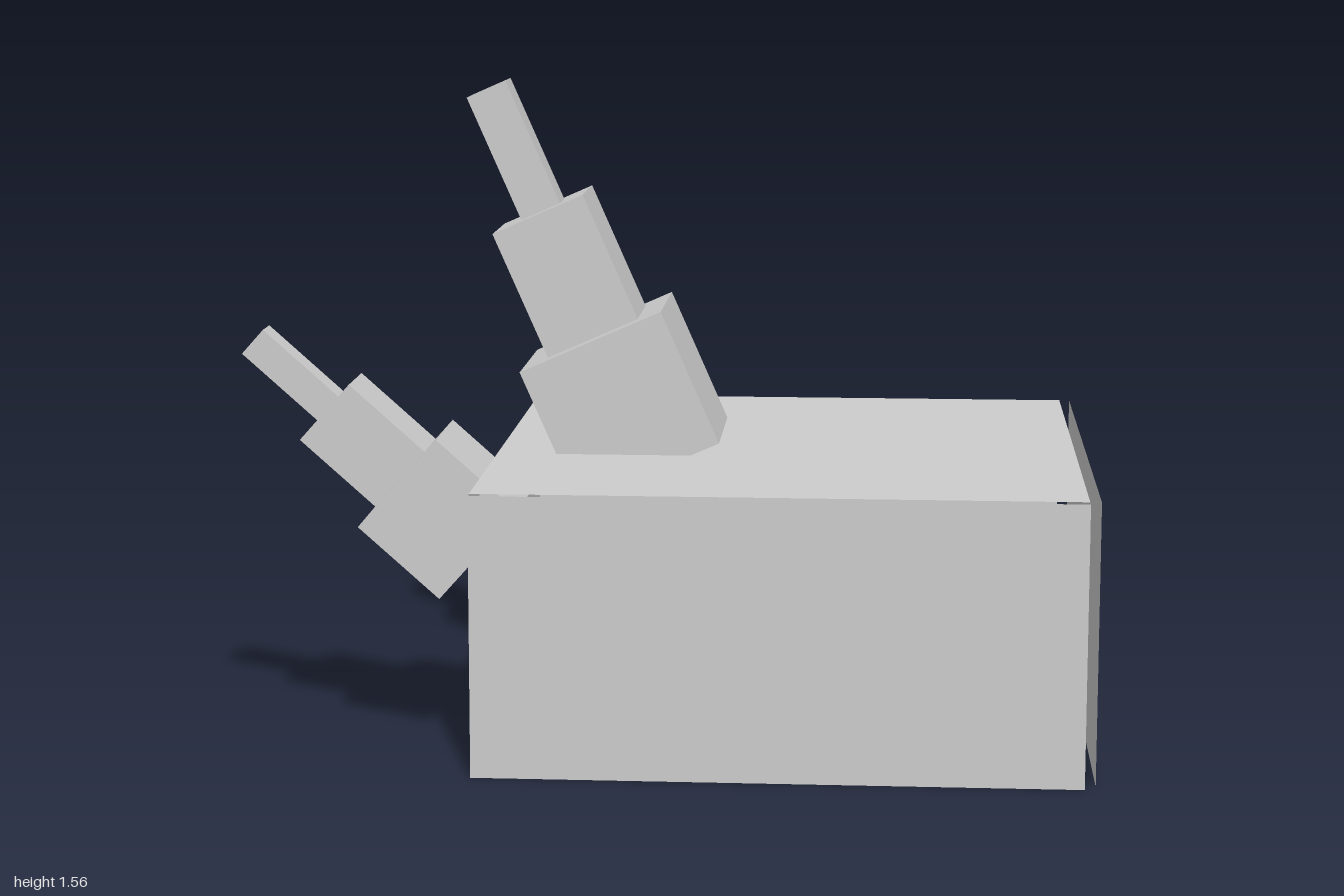
import * as THREE from 'three';

const grey = new THREE.MeshStandardMaterial({ color: 0xcccccc, side: THREE.DoubleSide });
grey.name = 'plain grey';

function add(parent, name, geometry, x, y, z) {
  const mesh = new THREE.Mesh(geometry, grey);
  mesh.name = name;
  mesh.position.set(x, y, z);
  parent.add(mesh);
  return mesh;
}

// Stack of ever thinner square blocks along the local y axis; the first is centred on the origin
function steppedSpike(name, segments, position, tilt) {
  const spike = new THREE.Group();
  spike.name = name;
  let bottom = -segments[0][1] / 2;
  segments.forEach(([width, length], i) => {
    add(spike, `${name}Segment${i + 1}`, new THREE.BoxGeometry(width, length, width), 0, bottom + length / 2, 0);
    bottom += length;
  });
  spike.position.set(...position);
  spike.rotation.z = tilt;
  return spike;
}

export function createModel() {
  const model = new THREE.Group();
  model.name = 'spikedBlock';

  // Hollow body of six thin sheets; the front and left sheets stand slightly proud
  const S = 1.404, H = 0.66, gap = 0.026;
  const x0 = -0.43, z0 = -0.716, cx = x0 + S / 2, cz = z0 + S / 2;
  const body = new THREE.Group();
  body.name = 'body';
  const sheet = (name, w, h, x, y, z, rx, ry) =>
    add(body, name, new THREE.PlaneGeometry(w, h), x, y, z).rotation.set(rx, ry, 0);
  sheet('frontWall', S, H, cx, H / 2, z0 + S + gap, 0, 0);
  sheet('backWall', S, H, cx, H / 2, z0, 0, Math.PI);
  sheet('leftWall', S, H, x0 + S + gap, H / 2, cz, 0, Math.PI / 2);
  sheet('rightWall', S, H, x0, H / 2, cz, 0, -Math.PI / 2);
  sheet('topPanel', S, S, cx, H, cz, -Math.PI / 2, 0);
  sheet('bottomPanel', S, S, cx, 0, cz, Math.PI / 2, 0);
  model.add(body);

  // Leaning spikes: a large one on the top, a small one on the side
  model.add(
    steppedSpike('largeSpike', [[0.375, 0.35], [0.241, 0.33], [0.104, 0.326]],
      [-0.132, 0.775, -0.014], THREE.MathUtils.degToRad(23.8)),
    steppedSpike('smallSpike', [[0.281, 0.255], [0.178, 0.238], [0.077, 0.238]],
      [-0.53, 0.56, 0.361], THREE.MathUtils.degToRad(48.3)),
  );
  return model;
}
